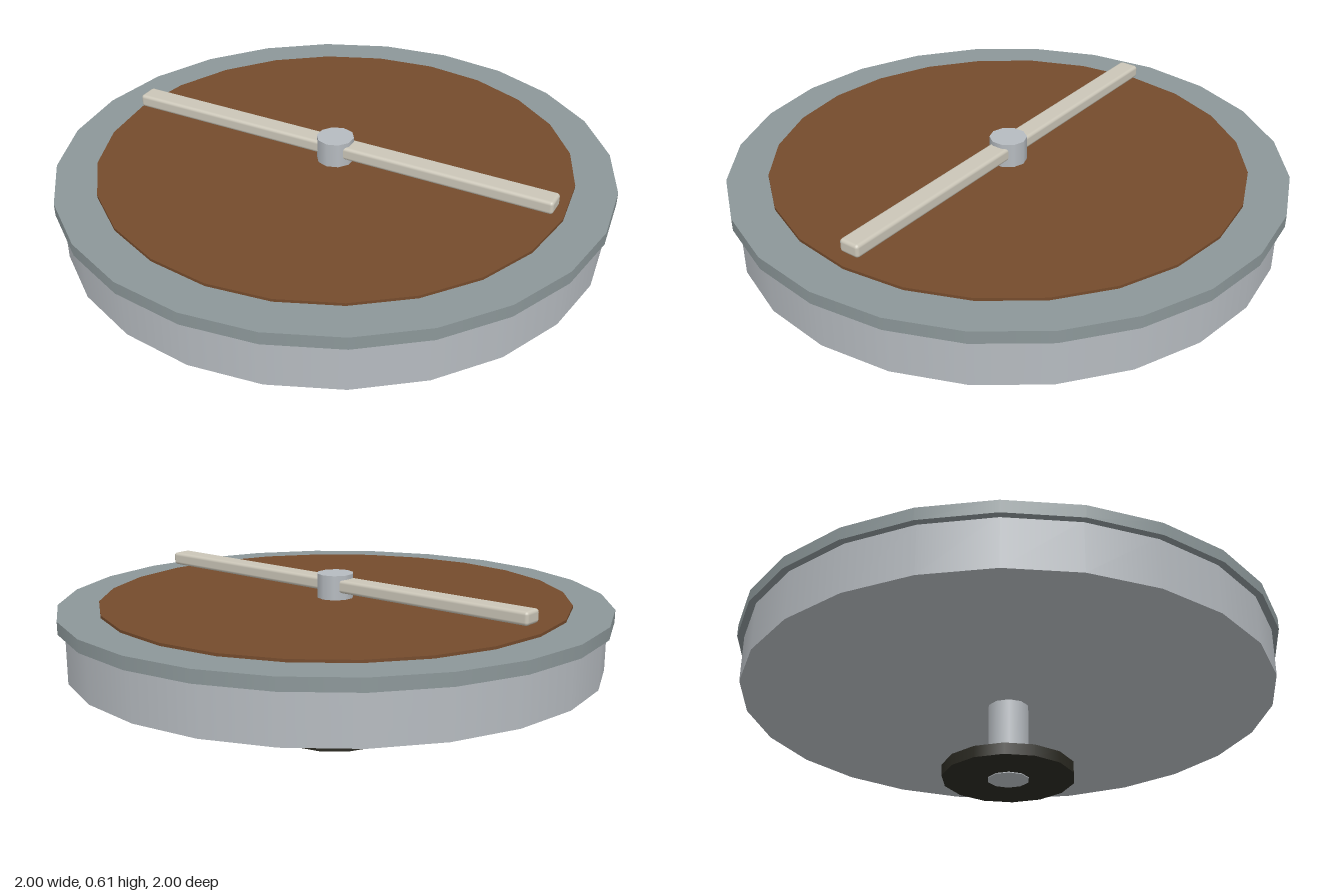
import * as THREE from 'three';
import { RoundedBoxGeometry } from 'three/addons/geometries/RoundedBoxGeometry.js';

const material = (name, color) => {
  const m = new THREE.MeshStandardMaterial({ color });
  m.name = name;
  return m;
};

export function createModel() {
  const model = new THREE.Group();
  model.name = 'roundPan';

  const steel = material('steel', 0xb6bbc0);
  const rimSteel = material('rim grey', 0x8c9799);
  const brown = material('brown', 0x754b2c);
  const ivory = material('ivory', 0xcbc6b8);
  const black = material('black', 0x2b2a22);

  const add = (name, geometry, mat, y) => {
    const mesh = new THREE.Mesh(geometry, mat);
    mesh.name = name;
    mesh.position.y = y;
    model.add(mesh);
  };

  // Upright disc or post from y0 to y1
  const disc = (name, radius, y0, y1, sides, mat) =>
    add(name, new THREE.CylinderGeometry(radius, radius, y1 - y0, sides), mat, (y0 + y1) / 2);

  // Foot and post; the post shows through the underside of the foot
  disc('foot', 0.242, 0.003, 0.045, 14, black);
  disc('post', 0.0765, 0, 0.3, 10, steel);

  // Drum with its overhanging rim and the brown contents
  disc('drum', 0.975, 0.286, 0.47, 24, steel);
  disc('rim', 1, 0.463, 0.508, 24, rimSteel);
  disc('filling', 0.853, 0.5, 0.518, 24, brown);

  // Sweeping bar through the central hub
  disc('hub', 0.0675, 0.51, 0.607, 10, steel);
  add('sweepBar', new RoundedBoxGeometry(1.65, 0.048, 0.078, 2, 0.012), ivory, 0.567);

  return model;
}
